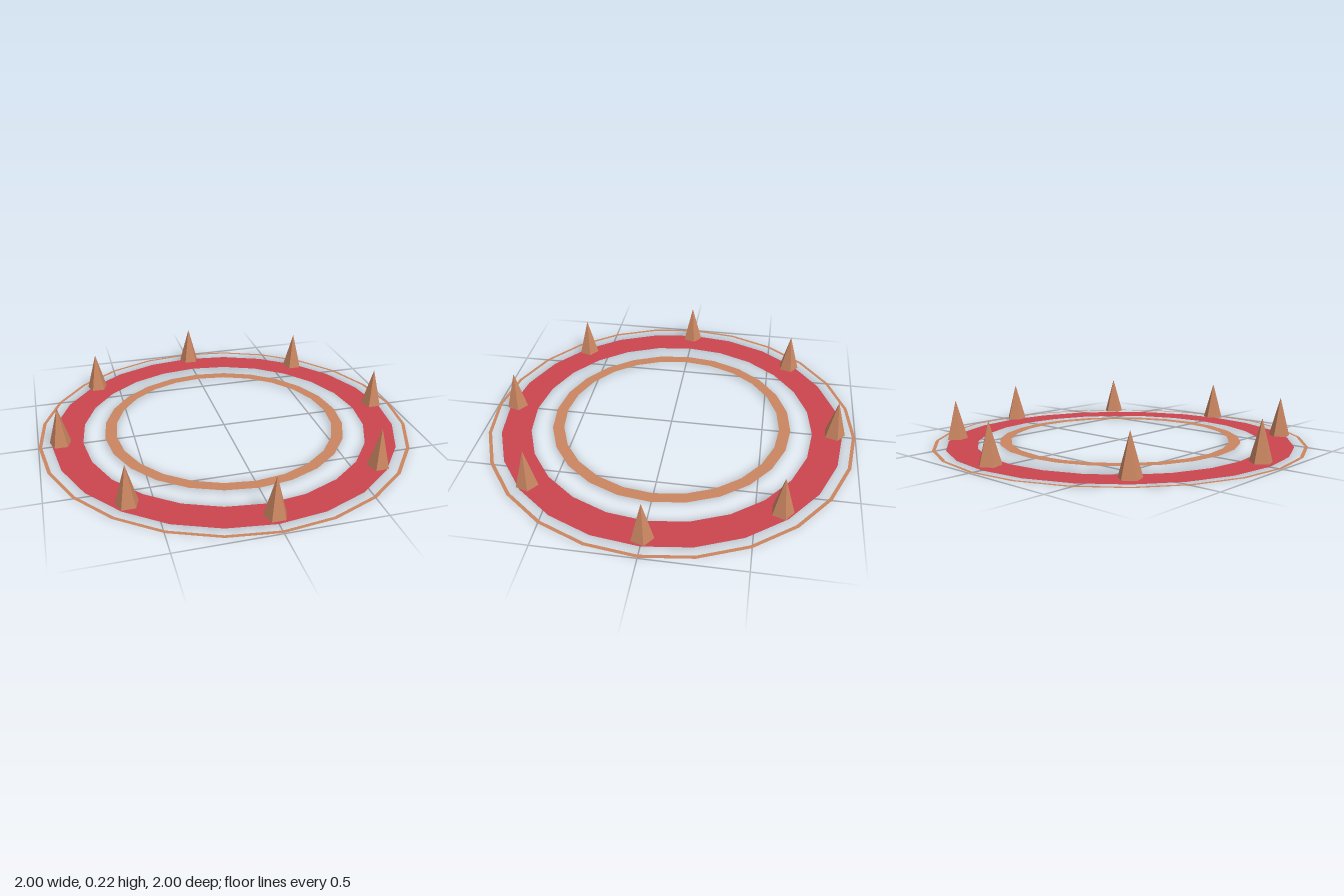
import * as THREE from 'three';

export function createModel() {
  const group = new THREE.Group();
  const red = new THREE.MeshStandardMaterial({ name: 'red', color: 0xcb444e, side: THREE.DoubleSide });
  const copper = new THREE.MeshStandardMaterial({ name: 'copper', color: 0xca8661, side: THREE.DoubleSide });
  const spikeCopper = copper.clone();
  spikeCopper.side = THREE.FrontSide;
  spikeCopper.flatShading = true;
  spikeCopper.name = 'spikeCopper';

  // Flat ground rings
  const addRing = (name, inner, outer, y, material) => {
    const geometry = new THREE.RingGeometry(inner, outer, 24).rotateX(-Math.PI / 2);
    const ring = new THREE.Mesh(geometry, material);
    ring.name = name;
    ring.position.y = y;
    group.add(ring);
  };
  addRing('dangerBand', 0.77, 0.93, 0, red);
  addRing('outerRim', 0.982, 1, 0.004, copper);
  addRing('innerRing', 0.592, 0.653, 0.01, copper);

  // Eight five-sided spikes, each with a flat face towards the front
  const base = 0.016, height = 0.208;
  const spikeGeometry = new THREE.ConeGeometry(0.058, height, 5).rotateY(Math.PI);
  for (let i = 0; i < 8; i++) {
    const angle = (i * Math.PI) / 4;
    const spike = new THREE.Mesh(spikeGeometry, spikeCopper);
    spike.name = `spike${i + 1}`;
    spike.position.set(Math.cos(angle) * 0.885, base + height / 2, Math.sin(angle) * 0.885);
    group.add(spike);
  }
  return group;
}
